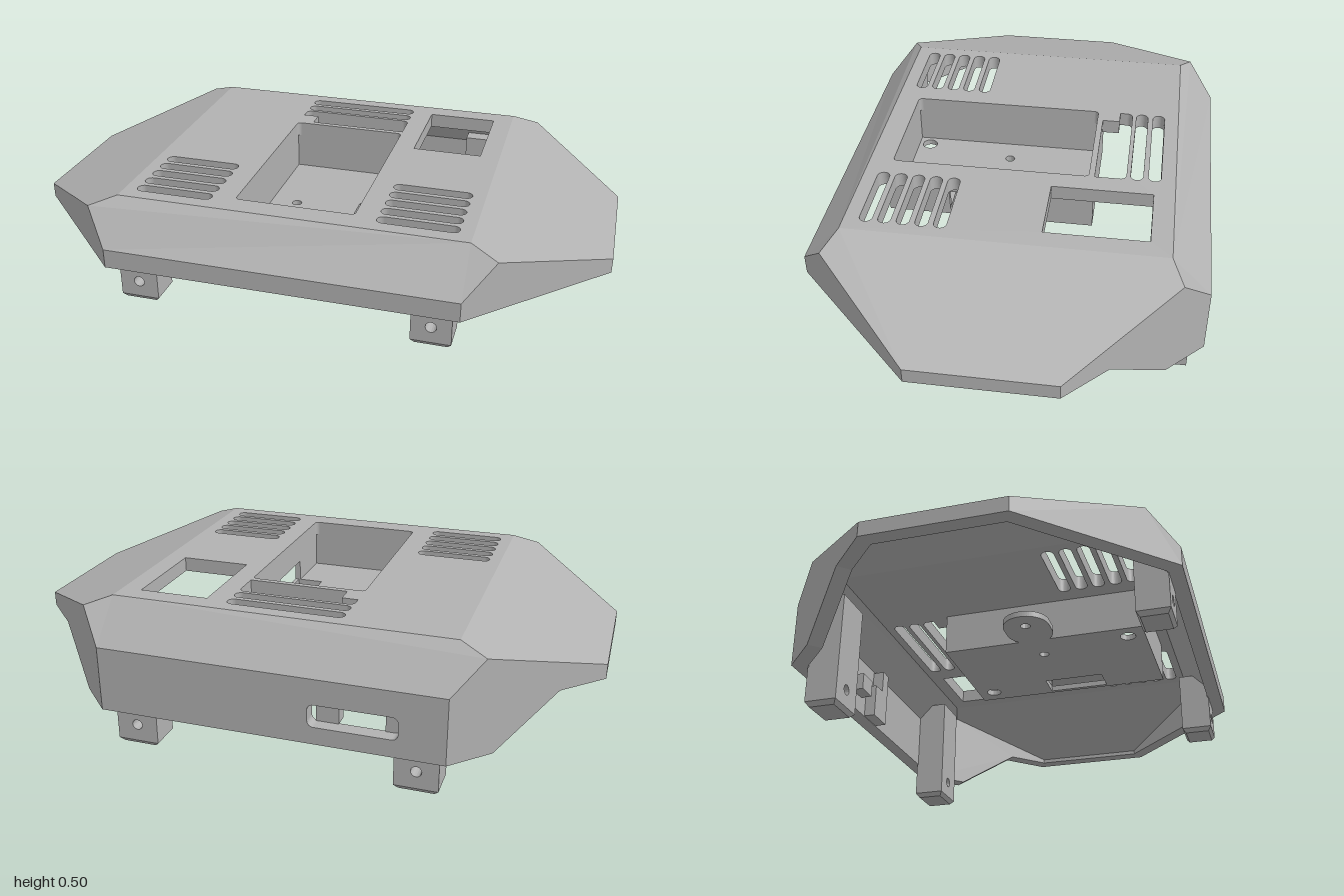
import * as THREE from 'three';

const V = (x, y, z) => new THREE.Vector3(x, y, z);

// Outline helpers for shapes and holes
function rect(x0, y0, x1, y1, r = 0, C = THREE.Path) {
  const p = new C();
  if (!r) {
    p.moveTo(x0, y0).lineTo(x1, y0).lineTo(x1, y1).lineTo(x0, y1);
  } else {
    p.absarc(x1 - r, y0 + r, r, -Math.PI / 2, 0);
    p.absarc(x1 - r, y1 - r, r, 0, Math.PI / 2);
    p.absarc(x0 + r, y1 - r, r, Math.PI / 2, Math.PI);
    p.absarc(x0 + r, y0 + r, r, Math.PI, Math.PI * 1.5);
  }
  p.closePath();
  return p;
}
const circle = (x, y, r) => new THREE.Path().absarc(x, y, r, 0, Math.PI * 2);
const extrude = (shape, depth) =>
  new THREE.ExtrudeGeometry(shape, { depth, bevelEnabled: false, curveSegments: 8 });

// Horizontal plate drawn in x and z, with its upper face at y = top
const plate = (shape, top, depth) =>
  extrude(shape, depth).rotateX(Math.PI / 2).translate(0, top, 0);

// Corner points of one shell skin, for the +x +z quarter
const OUTER = {
  T: [0.58, 0.5, 0.52], M: [0.67, 0.468, 0.56], R: [0.58, 0.365, 0.65], S: [1, 0.35, 0.23],
  R0: [0.58, 0.3, 0.65], S0: [1, 0.3, 0.23],
  Q: [0.87, 0.3, 0.36], P: [0.7, 0.14, 0.53], B: [0.58, 0.14, 0.65],
};
const INNER = {
  T: [0.571, 0.45, 0.499], M: [0.637, 0.427, 0.522], R: [0.559, 0.345, 0.6], S: [0.95, 0.315, 0.209],
  R0: [0.559, 0.3, 0.6], S0: [0.95, 0.3, 0.209],
  Q: [0.835, 0.3, 0.324], P: [0.665, 0.14, 0.494], B: [0.559, 0.14, 0.6],
};

function shellGeometry() {
  const pos = [];
  // Fan of triangles turned to face the given direction
  const face = (pts, dir) => {
    const n = V(0, 0, 0);
    for (let i = 1; i < pts.length - 1; i++) {
      n.add(pts[i].clone().sub(pts[0]).cross(pts[i + 1].clone().sub(pts[0])));
    }
    const p = n.dot(dir) < 0 ? [pts[0], ...pts.slice(1).reverse()] : pts;
    for (let i = 1; i < p.length - 1; i++) {
      for (const v of [p[0], p[i], p[i + 1]]) pos.push(v.x, v.y, v.z);
    }
  };
  const at = (skin, key, sx, sz) => V(skin[key][0] * sx, skin[key][1], skin[key][2] * sz);

  for (const [skin, sign] of [[OUTER, 1], [INNER, -1]]) {
    const skinFace = (list) => {
      const pts = list.map(([k, sx, sz]) => at(skin, k, sx, sz));
      const c = pts.reduce((a, b) => a.add(b), V(0, 0, 0)).divideScalar(pts.length);
      face(pts, c.sub(V(0, 0.3, 0)).multiplyScalar(sign));
    };
    for (const s of [1, -1]) {
      // front and back bevels
      skinFace([['T', 1, s], ['M', 1, s], ['R', 1, s], ['R', -1, s], ['M', -1, s], ['T', -1, s]]);
      // side slopes and side edges
      skinFace([['T', s, 1], ['M', s, 1], ['S', s, 1], ['S', s, -1], ['M', s, -1], ['T', s, -1]]);
      skinFace([['S', s, 1], ['S0', s, 1], ['S0', s, -1], ['S', s, -1]]);
      // diagonal corner walls, deeper at the back
      skinFace(['M', 'R', 'R0', 'S0', 'S'].map((k) => [k, s, 1]));
      skinFace(['Q', 'S0', 'S', 'M', 'R', 'B', 'P'].map((k) => [k, s, -1]));
    }
    skinFace([['R', 1, 1], ['R0', 1, 1], ['R0', -1, 1], ['R', -1, 1]]);
  }

  // lower rim joining the two skins
  const down = V(0, -1, 0);
  const rim = (a, b) => face([at(OUTER, ...a), at(OUTER, ...b), at(INNER, ...b), at(INNER, ...a)], down);
  rim(['R0', 1, 1], ['R0', -1, 1]);
  for (const s of [1, -1]) {
    const chain = [['R0', s, 1], ['S0', s, 1], ['S0', s, -1], ['Q', s, -1], ['P', s, -1], ['B', s, -1]];
    for (let i = 0; i < chain.length - 1; i++) rim(chain[i], chain[i + 1]);
  }

  const g = new THREE.BufferGeometry();
  g.setAttribute('position', new THREE.Float32BufferAttribute(pos, 3));
  g.computeVertexNormals();
  return g;
}

export function createModel() {
  const model = new THREE.Group();
  model.name = 'enclosureCover';
  const grey = new THREE.MeshStandardMaterial({ color: 0xb2b2b2, side: THREE.DoubleSide });
  grey.name = 'grey';

  const add = (name, geometry, parent = model) => {
    const m = new THREE.Mesh(geometry, grey);
    m.name = name;
    parent.add(m);
    return m;
  };
  const box = (name, x0, x1, y0, y1, z0, z1, parent) =>
    add(name, new THREE.BoxGeometry(x1 - x0, y1 - y0, z1 - z0)
      .translate((x0 + x1) / 2, (y0 + y1) / 2, (z0 + z1) / 2), parent);

  add('shell', shellGeometry());

  // Top panel with vents, window and pocket opening
  const top = rect(-0.58, -0.52, 0.58, 0.52, 0, THREE.Shape);
  const slot = (x0, x1, z) => top.holes.push(rect(x0, z - 0.021, x1, z + 0.021, 0.0209));
  for (let i = 0; i < 5; i++) {
    slot(-0.54, -0.277, 0.21 + i * 0.06);
    slot(0.273, 0.536, 0.21 + i * 0.06);
  }
  slot(-0.2, 0.2, -0.45);
  slot(-0.2, 0.2, -0.39);
  const wide = new THREE.Path();
  wide.moveTo(-0.145, -0.25).lineTo(-0.145, -0.31).lineTo(-0.2, -0.31);
  wide.absarc(-0.18, -0.335, 0.02, Math.PI, Math.PI * 1.5);
  wide.absarc(0.18, -0.335, 0.02, -Math.PI / 2, 0);
  wide.lineTo(0.2, -0.25).closePath();
  top.holes.push(wide);
  top.holes.push(rect(0.273, -0.45, 0.512, -0.113));
  top.holes.push(rect(-0.2, -0.23, 0.2, 0.44, 0.015));
  add('topPanel', plate(top, 0.5, 0.05));

  // Recessed pocket: floor with holes, and four walls
  const pocket = new THREE.Group();
  pocket.name = 'pocket';
  model.add(pocket);
  const floor = rect(-0.22, -0.25, 0.22, 0.46, 0, THREE.Shape);
  floor.holes.push(rect(0.112, 0.03, 0.205, 0.245));
  for (const [x, z, r] of [[0.155, -0.19, 0.027], [-0.107, 0.085, 0.017], [-0.16, 0.4, 0.027]]) {
    floor.holes.push(circle(x, z, r));
  }
  add('pocketFloor', plate(floor, 0.325, 0.02), pocket);
  box('pocketFrontWall', -0.22, 0.22, 0.305, 0.455, 0.44, 0.46, pocket);
  box('pocketBackWall', -0.22, 0.22, 0.305, 0.455, -0.25, -0.23, pocket);
  box('pocketRightWall', -0.22, -0.2, 0.305, 0.455, -0.25, 0.46, pocket);
  box('pocketLeftWallBack', 0.2, 0.22, 0.305, 0.455, -0.25, 0.03, pocket);
  box('pocketLeftWallFront', 0.2, 0.22, 0.305, 0.455, 0.245, 0.46, pocket);
  box('pocketLeftWallLintel', 0.2, 0.22, 0.4, 0.455, 0.03, 0.245, pocket);

  // Rounded mounting tab beside the pocket
  const tab = rect(-0.4, 0.0, -0.2, 0.16, 0.079, THREE.Shape);
  tab.holes.push(circle(-0.33, 0.08, 0.017));
  add('mountingTab', plate(tab, 0.325, 0.02));

  // Back wall with the port opening
  const back = rect(-0.58, 0.14, 0.58, 0.365, 0, THREE.Shape);
  back.holes.push(rect(-0.43, 0.2, -0.14, 0.277, 0.02));
  add('backWall', extrude(back, 0.05).translate(0, 0, -0.65));

  // Small supports behind the port
  box('portSupportOuter', -0.43, -0.38, 0.142, 0.26, -0.605, -0.56);
  box('portSupportInner', -0.23, -0.155, 0.2, 0.26, -0.605, -0.56);
  box('portRibLow', -0.12, -0.065, 0.142, 0.26, -0.605, -0.56);
  box('portRibHigh', -0.065, -0.02, 0.142, 0.34, -0.605, -0.56);

  // Legs with a cross hole and a tapered foot
  const leg = (name, x, width, y0, z0, z1, holeY) => {
    const g = new THREE.Group();
    g.name = name;
    model.add(g);
    const h = 0.015, d = z1 - z0;
    const s = rect(x - width / 2, y0 + h, x + width / 2, 0.4, 0, THREE.Shape);
    s.holes.push(circle(x, holeY, 0.018));
    add(name + 'Post', extrude(s, d).translate(0, 0, z0), g);
    const foot = new THREE.CylinderGeometry(Math.SQRT1_2, Math.SQRT1_2 * 0.8, h, 4).toNonIndexed();
    foot.rotateY(Math.PI / 4).scale(width, 1, d).translate(x, y0 + h / 2, (z0 + z1) / 2);
    foot.computeVertexNormals();
    add(name + 'Foot', foot, g);
  };
  for (const [side, s] of [['Left', 1], ['Right', -1]]) {
    leg('front' + side + 'Leg', s * 0.487, 0.13, 0.165, 0.495, 0.604, 0.235);
    leg('back' + side + 'Leg', s * 0.48, 0.145, 0, -0.604, -0.493, 0.075);
  }
  return model;
}
